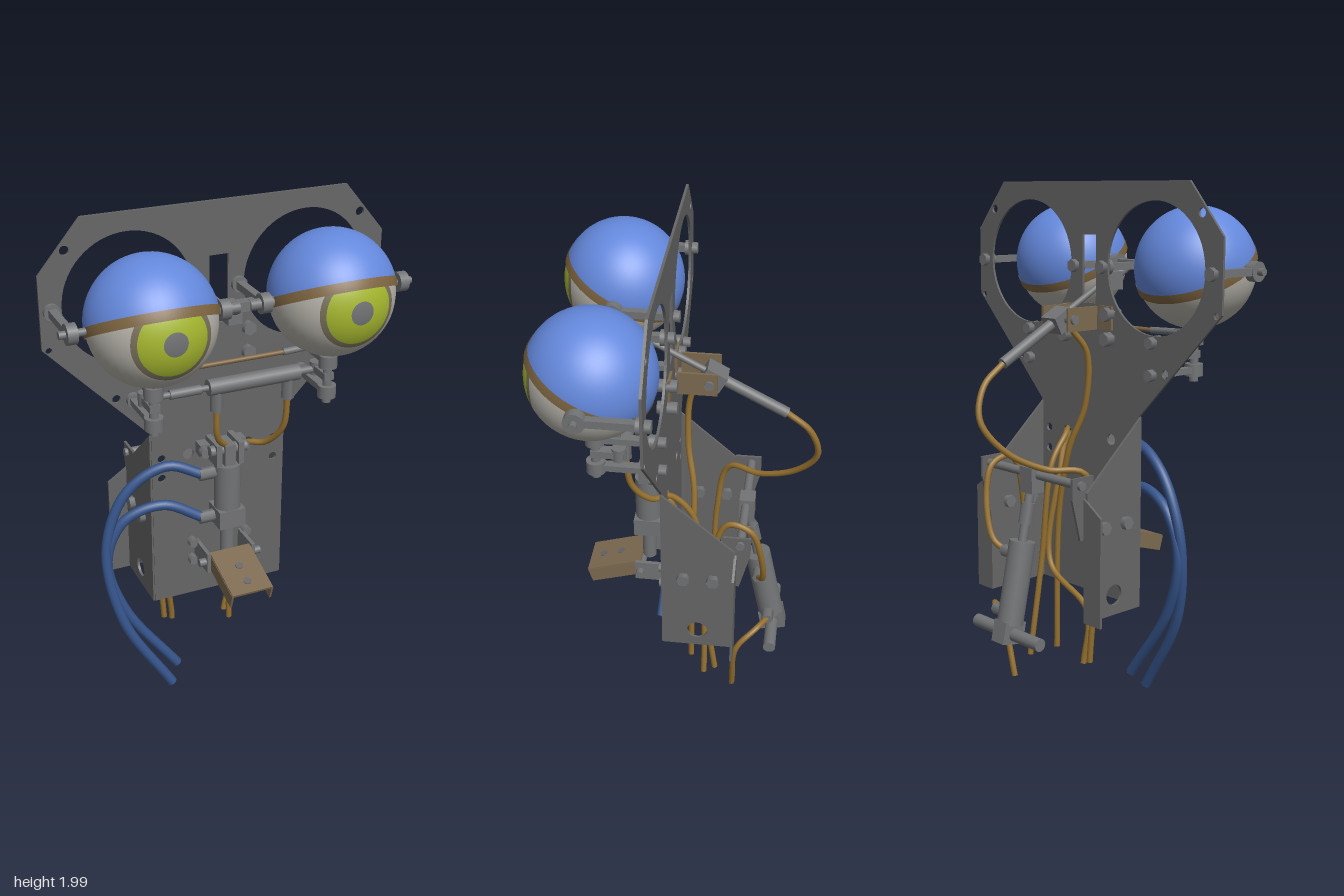
import * as THREE from 'three';

const mat = (name, color) => {
  const m = new THREE.MeshStandardMaterial({ color, side: THREE.DoubleSide });
  m.name = name;
  return m;
};
const V = (p) => new THREE.Vector3(...p);

export function createModel() {
  const plateGrey = mat('plate grey', 0x666666);
  const metal = mat('machined metal', 0x727375);
  const blue = mat('eyelid blue', 0x6488dc);
  const brown = mat('lid rim brown', 0x7d6440);
  const bracketTan = mat('bracket tan', 0x7c6a50);
  const white = mat('eyeball white', 0xb4b1a8);
  const green = mat('iris green', 0xa6b82f);
  const ringGrey = mat('iris edge', 0x78705a);
  const hoseBrown = mat('hose brown', 0x94702f);
  const hoseBlue = mat('hose blue', 0x36558c);

  const root = new THREE.Group();
  root.name = 'animatronicEyes';

  // helpers
  const add = (name, geo, m, pos = [0, 0, 0], parent = root) => {
    const mesh = new THREE.Mesh(geo, m);
    mesh.name = name;
    mesh.position.set(...pos);
    parent.add(mesh);
    return mesh;
  };
  const box = (name, size, pos, m = metal, parent = root) =>
    add(name, new THREE.BoxGeometry(...size), m, pos, parent);
  const rod = (name, a, b, r, m = metal, sides = 20) => {
    const d = V(b).sub(V(a));
    const mesh = add(name, new THREE.CylinderGeometry(r, r, d.length(), sides), m);
    mesh.position.copy(V(a)).addScaledVector(d, 0.5);
    mesh.quaternion.setFromUnitVectors(new THREE.Vector3(0, 1, 0), d.normalize());
    return mesh;
  };
  const hose = (name, pts, r = 0.012, m = hoseBrown) => {
    const curve = new THREE.CatmullRomCurve3(pts.map(V), false, 'centripetal');
    add(name, new THREE.TubeGeometry(curve, 64, r, 10), m);
    for (const t of [0, 1]) { // closed ends
      const cap = add(name + 'End', new THREE.CircleGeometry(r, 10), m);
      cap.position.copy(curve.getPoint(t));
      cap.lookAt(curve.getPoint(t).addScaledVector(curve.getTangent(t), t ? 1 : -1));
    }
  };
  const outline = (pts) => new THREE.Shape(pts.map(([x, y]) => new THREE.Vector2(x, y)));
  const hole = (shape, x, y, r, ry = r) =>
    shape.holes.push(new THREE.Path().absellipse(x, y, r, ry, 0, Math.PI * 2, true));
  const sheet = (shape, depth = 0.01) =>
    new THREE.ExtrudeGeometry(shape, { depth, bevelEnabled: false, curveSegments: 32 });

  // face plate and front panel, one sheet
  const right = [[0.275, 0.38], [0.275, 1.13], [0.67, 1.54], [0.67, 1.81], [0.51, 2]];
  const face = outline([...right, ...right.map(([x, y]) => [-x, y]).reverse()]);
  for (const s of [-1, 1]) {
    hole(face, s * 0.345, 1.685, 0.245);
    hole(face, s * 0.57, 1.89, 0.017);
    hole(face, s * 0.645, 1.535, 0.012);
    hole(face, s * 0.405, 1.305, 0.016);
    for (const y of [0.935, 1.02]) hole(face, s * 0.235, y, 0.016);
    hole(face, s * 0.125, 1.02, 0.022);
  }
  face.holes.push(new THREE.Path([[-0.037, 1.54], [-0.037, 1.8], [0.037, 1.8], [0.037, 1.54]]
    .map((p) => new THREE.Vector2(...p))));
  add('facePlate', sheet(face), plateGrey, [0, 0, 0.058]);

  // sides of the neck, rear flanges and bar carriers
  for (const s of [-1, 1]) {
    const side = outline([[0.065, 0.38], [0.065, 1.13], [-0.215, 0.88], [-0.215, 0.38]]);
    hole(side, -0.075, 0.46, 0.04);
    add('sidePlate', sheet(side).rotateY(-Math.PI / 2), plateGrey, [s * 0.277 + 0.005, 0, 0]);
    const flange = outline([[0.27, 0.38], [0.36, 0.38], [0.36, 0.8], [0.27, 0.86]].map(([x, y]) => [s * x, y]));
    add('rearFlange', sheet(flange), plateGrey, [0, 0, -0.223]);
    const carrier = outline([[-0.17, 0.94], [-0.275, 0.94], [-0.275, 0.86], [-0.235, 0.7], [-0.17, 0.7]]);
    add('barCarrier', sheet(carrier).rotateY(-Math.PI / 2), plateGrey, [s * 0.262 + 0.005, 0, 0]);
    for (const z of [-0.135, -0.02]) {
      rod('sideBolt', [s * 0.25, 0.735, z], [s * 0.305, 0.735, z], 0.026, metal, 6);
    }
  }
  rod('crossBar', [-0.28, 0.91, -0.235], [0.28, 0.91, -0.235], 0.017);

  for (const s of [-1, 1]) {
    // eye: ball, iris bands, tilted lid
    const eye = new THREE.Group();
    eye.name = 'eye';
    eye.position.set(s * 0.343, 1.68, 0.285);
    root.add(eye);
    const cut = [0, 0.19, 0.57, 0.67, Math.PI];
    ['pupil', 'iris', 'irisEdge', 'eyeball'].forEach((name, i) => {
      const g = new THREE.SphereGeometry(0.228, 48, 20, 0, Math.PI * 2, cut[i], cut[i + 1] - cut[i]);
      add(name, g.rotateX(Math.PI / 2), [metal, green, ringGrey, white][i], [0, 0, 0], eye);
    });
    const lid = new THREE.SphereGeometry(0.232, 48, 20, 0, Math.PI * 2, 0, Math.PI / 2);
    add('eyelid', lid.rotateX(-0.46), blue, [0, 0, 0], eye);
    const rim = new THREE.SphereGeometry(0.2345, 48, 4, 0, Math.PI * 2, Math.PI / 2 - 0.06, 0.15);
    add('eyelidRim', rim.rotateX(-0.46), brown, [0, 0, 0], eye);

    // arms holding the eye axles
    for (const x of [0.078, 0.628]) {
      box('eyeArm', [0.03, 0.028, 0.23], [s * x, 1.68, 0.175]);
      rod('armEnd', [s * (x - 0.018), 1.68, 0.285], [s * (x + 0.018), 1.68, 0.285], 0.037);
      rod('armFoot', [s * x, 1.68, 0.068], [s * x, 1.68, 0.085], 0.03);
      rod('armBolt', [s * x, 1.68, 0.035], [s * x, 1.68, 0.058], 0.025, metal, 6);
    }
    rod('outerAxle', [s * 0.56, 1.68, 0.285], [s * 0.67, 1.68, 0.285], 0.014);
    rod('innerAxle', [s * 0.02, 1.68, 0.285], [s * 0.13, 1.68, 0.285], 0.02);

    // turning pivot below the eye
    const x = s * 0.343;
    for (const y of [1.415, 1.295]) {
      box('pivotArm', [0.035, 0.024, 0.23], [x, y, 0.175]);
      rod('pivotCollar', [x, y - 0.024, 0.285], [x, y + 0.024, 0.285], 0.035);
      rod('pivotFoot', [x, y, 0.068], [x, y, 0.09], 0.027);
      rod('pivotBolt', [x, y, 0.03], [x, y, 0.058], 0.023, metal, 6);
    }
    rod('pivotPost', [x, 1.25, 0.285], [x, 1.47, 0.285], 0.017);
    box('steeringLever', [0.04, 0.028, 0.12], [x, 1.355, 0.24]);
    rod('steeringJoint', [x, 1.33, 0.2], [x, 1.38, 0.2], 0.026);
    box('linkLever', [0.035, 0.02, 0.1], [x, 1.445, 0.24]);
    rod('linkEnd', [s * 0.34, 1.445, 0.2], [s * 0.2, 1.44, 0.2], 0.013);
    for (const y of [1.41, 1.505]) {
      rod('plateBolt', [s * 0.118, y, 0.02], [s * 0.118, y, 0.095], 0.027, metal, 6);
    }
  }
  rod('linkRod', [-0.24, 1.44, 0.2], [0.24, 1.44, 0.2], 0.009, brown);

  // sideways piston that turns the eyes
  rod('turnCylinder', [-0.1, 1.35, 0.2], [0.265, 1.35, 0.2], 0.031);
  rod('turnPistonRod', [-0.34, 1.35, 0.2], [-0.1, 1.35, 0.2], 0.012);
  rod('turnRodNut', [-0.25, 1.35, 0.2], [-0.13, 1.35, 0.2], 0.018);
  rod('turnTailRod', [0.265, 1.35, 0.2], [0.34, 1.35, 0.2], 0.015);
  for (const x of [-0.065, 0.225]) rod('turnPort', [x, 1.25, 0.2], [x, 1.33, 0.2], 0.024, metal, 6);

  // lid lever, rear bracket and lid piston
  box('leverFork', [0.09, 0.035, 0.04], [0, 1.68, 0.275]);
  rod('lidLever', [0, 1.68, 0.28], [0, 1.61, 0.16], 0.018);
  box('leverBlock', [0.055, 0.07, 0.08], [0, 1.62, 0.175]);
  rod('lidPistonRod', [0, 1.625, 0.15], [0, 1.47, -0.14], 0.012);
  for (const s of [-1, 1]) {
    box('lidBracketCheek', [0.01, 0.09, 0.15], [s * 0.07, 1.49, -0.045], bracketTan);
    box('lidBracketFoot', [0.07, 0.09, 0.01], [s * 0.1, 1.49, 0.05], bracketTan);
  }
  rod('bracketPin', [-0.085, 1.49, -0.09], [0.085, 1.49, -0.09], 0.018);
  const trunnion = box('trunnionBlock', [0.08, 0.07, 0.085], [0, 1.485, -0.1]);
  trunnion.rotation.x = -0.49;
  rod('lidCylinder', [0, 1.48, -0.12], [0, 1.345, -0.375], 0.021);

  // rear piston hung from the cross bar
  rod('rearRod', [0, 0.91, -0.235], [0, 0.64, -0.292], 0.018);
  rod('rearNut', [0, 0.8, -0.258], [0, 0.72, -0.275], 0.028, metal, 6);
  box('rearClevis', [0.07, 0.1, 0.06], [0, 0.89, -0.24]);
  rod('rearCylinder', [0, 0.655, -0.289], [0, 0.34, -0.355], 0.051, metal, 28);
  const cap = box('rearCap', [0.07, 0.085, 0.1], [0, 0.31, -0.362]);
  cap.rotation.x = 0.2;
  rod('rearLowerBar', [-0.185, 0.305, -0.363], [0.19, 0.305, -0.363], 0.025);
  for (const [y, z] of [[0.6, -0.3], [0.375, -0.345]]) {
    rod('rearPort', [0.03, y, z], [0.1, y, z], 0.024, metal, 6);
  }

  // front piston for the jaw tray
  box('upperMount', [0.19, 0.05, 0.05], [0, 1.045, 0.09]);
  for (const s of [-1, 1]) {
    box('upperEar', [0.022, 0.09, 0.11], [s * 0.045, 1.045, 0.13]);
    rod('upperMountBolt', [s * 0.08, 1.045, 0.11], [s * 0.08, 1.045, 0.14], 0.022, metal, 6);
    box('hingeEar', [0.015, 0.085, 0.14], [s * 0.095, 0.59, 0.13]);
    for (const y of [0.55, 0.63]) rod('hingeBolt', [s * 0.115, y, 0.065], [s * 0.115, y, 0.1], 0.02, metal, 6);
  }
  rod('upperPin', [-0.075, 1.06, 0.155], [0.075, 1.06, 0.155], 0.022);
  box('upperTang', [0.045, 0.1, 0.06], [0, 1.035, 0.155]);
  rod('jawCylinder', [0, 0.8, 0.155], [0, 1.0, 0.155], 0.052, metal, 28);
  box('jawCylinderBase', [0.108, 0.075, 0.108], [0, 0.775, 0.155]);
  rod('jawRod', [0, 0.6, 0.155], [0, 0.74, 0.155], 0.028);
  rod('hingePin', [-0.13, 0.59, 0.18], [0.13, 0.59, 0.18], 0.016);
  for (const y of [0.965, 0.775]) rod('jawPort', [-0.115, y, 0.145], [-0.04, y, 0.145], 0.025, metal, 6);
  const tray = new THREE.Group();
  tray.name = 'jawTray';
  tray.position.set(0, 0.59, 0.29);
  tray.rotation.x = 0.3;
  root.add(tray);
  box('trayTop', [0.17, 0.01, 0.23], [0, 0, 0], bracketTan, tray);
  for (const s of [-1, 1]) {
    box('traySide', [0.008, 0.06, 0.23], [s * 0.083, -0.03, 0], bracketTan, tray);
  }
  for (const z of [-0.02, 0.06]) {
    add('trayHole', new THREE.CylinderGeometry(0.016, 0.016, 0.004, 16), plateGrey, [0, 0.006, z], tray);
  }

  // blue hoses to the front piston
  hose('blueHoseUpper', [[-0.1, 0.965, 0.145], [-0.23, 1.01, 0.11], [-0.385, 0.915, 0.08], [-0.475, 0.68, 0.08],
    [-0.43, 0.36, 0.12], [-0.24, 0.02, 0.15]], 0.02, hoseBlue);
  hose('blueHoseLower', [[-0.1, 0.775, 0.145], [-0.25, 0.845, 0.11], [-0.4, 0.79, 0.08], [-0.47, 0.63, 0.075],
    [-0.41, 0.39, 0.09], [-0.2, 0.075, 0.105]], 0.02, hoseBlue);

  // brown hoses
  hose('turnHoseLeft', [[0.225, 1.27, 0.2], [0.22, 1.12, 0.18], [0.18, 1.03, 0.11], [0.125, 1.01, 0.05],
    [0.11, 0.9, -0.04], [0.13, 0.5, -0.08], [0.14, 0.115, -0.135]]);
  hose('turnHoseRight', [[-0.065, 1.27, 0.2], [-0.055, 1.13, 0.19], [0.03, 1.05, 0.13], [0.12, 1.0, 0.06],
    [0.11, 0.85, 0], [0.1, 0.5, -0.06], [-0.14, 0.36, -0.08], [-0.14, 0.15, -0.1]]);
  hose('lidHoseFront', [[-0.04, 1.45, -0.07], [-0.06, 1.36, -0.01], [-0.04, 1.15, 0], [0.02, 0.97, -0.03],
    [0.08, 0.7, -0.03], [0.095, 0.135, -0.03]]);
  hose('lidHoseRear', [[0, 1.345, -0.375], [0, 1.27, -0.465], [-0.02, 1.15, -0.5], [-0.07, 1.03, -0.42],
    [-0.13, 0.955, -0.28], [-0.2, 0.93, -0.15], [-0.21, 0.7, -0.1], [-0.175, 0.165, -0.1]]);
  hose('rearHoseUpper', [[0.09, 0.6, -0.3], [0.14, 0.64, -0.32], [0.19, 0.8, -0.31], [0.2, 0.92, -0.27],
    [0.19, 0.94, -0.18], [0.2, 0.7, -0.11], [0.25, 0.2, -0.1]]);
  hose('rearHoseLower', [[0.09, 0.375, -0.345], [0.16, 0.37, -0.3], [0.2, 0.3, -0.23], [0.15, 0.04, -0.21]]);

  return root;
}
